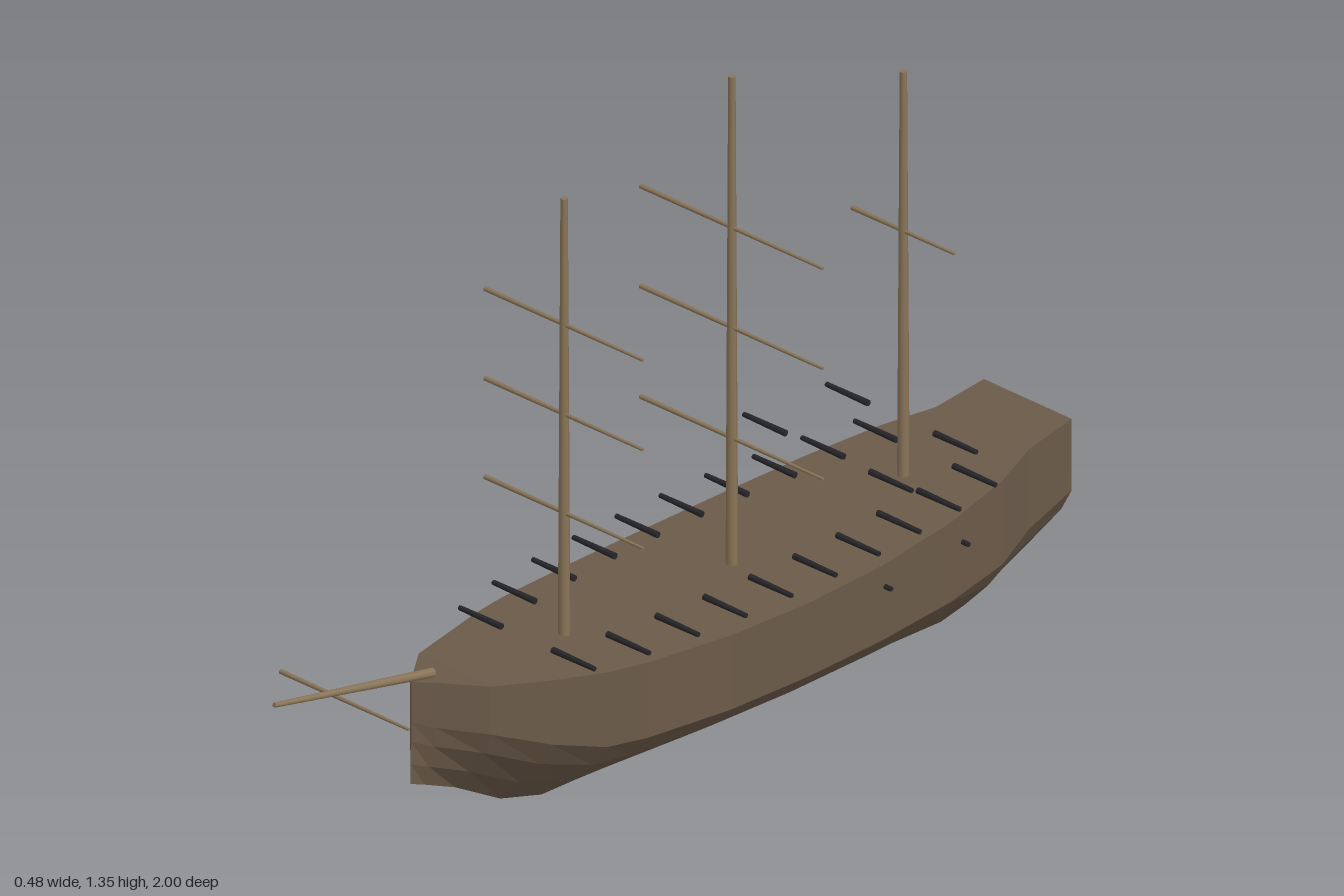
import * as THREE from 'three';

const wood = new THREE.MeshStandardMaterial({ color: 0x6b5a49, flatShading: true });
const spar = new THREE.MeshStandardMaterial({ color: 0x8a7558 });
const iron = new THREE.MeshStandardMaterial({ color: 0x26262a });

// Hull stations from stern to bow: z, half width, deck height, knuckle height, keel height
const stations = [
  [-1, 0.115, 0.39, 0.24, 0.09],
  [-0.88, 0.122, 0.373, 0.205, 0.035],
  [-0.77, 0.16, 0.361, 0.185, 0.007],
  [-0.6, 0.192, 0.347, 0.18, 0.011],
  [-0.4, 0.21, 0.337, 0.18, 0.016],
  [-0.2, 0.215, 0.334, 0.18, 0.021],
  [0, 0.209, 0.338, 0.182, 0.027],
  [0.2, 0.19, 0.348, 0.19, 0.033],
  [0.29, 0.172, 0.354, 0.197, 0.035],
  [0.4, 0.137, 0.365, 0.23, 0.067],
  [0.52, 0.095, 0.381, 0.28, 0.135],
  [0.6, 0.03, 0.395, 0.3, 0.17],
  [0.637, 0.002, 0.4, 0.315, 0.185],
];

// Lower cross-section: fraction of half width, fraction of height from keel to knuckle
const bilge = [[1, 1], [0.77, 0.68], [0.38, 0.32]];

function hullGeometry() {
  const positions = [], index = [];
  const n = bilge.length * 2 + 3;
  for (const [z, w, deck, knuckle, keel] of stations) {
    const half = [[w, deck], ...bilge.map(([u, v]) => [w * u, keel + (knuckle - keel) * v])];
    const ring = [...half, [0, keel], ...half.map(([x, y]) => [-x, y]).reverse()];
    for (const [x, y] of ring) positions.push(x, y, z);
  }
  for (let i = 0; i < stations.length - 1; i++) {
    for (let j = 0; j < n; j++) {
      const k = (j + 1) % n;
      const a = i * n + j, b = i * n + k, c = a + n, d = b + n;
      index.push(a, c, b, b, c, d);
    }
  }
  // Transom and stem caps
  const last = (stations.length - 1) * n;
  for (let j = 1; j < n - 1; j++) {
    index.push(0, j, j + 1);
    index.push(last, last + j + 1, last + j);
  }
  const indexed = new THREE.BufferGeometry();
  indexed.setAttribute('position', new THREE.Float32BufferAttribute(positions, 3));
  indexed.setIndex(index);
  const geometry = indexed.toNonIndexed();
  geometry.computeVertexNormals();
  return geometry;
}

// Half width of the deck at a given z
function deckHalfWidth(z) {
  const i = Math.max(1, stations.findIndex((s) => s[0] >= z));
  const [p, q] = [stations[i - 1], stations[i]];
  return THREE.MathUtils.mapLinear(z, p[0], q[0], p[1], q[1]);
}

// Tapered round pole between two points
function pole(name, from, to, r0, r1, material) {
  const a = new THREE.Vector3(...from), b = new THREE.Vector3(...to);
  const direction = b.clone().sub(a);
  const mesh = new THREE.Mesh(new THREE.CylinderGeometry(r1, r0, direction.length(), 8), material);
  mesh.position.copy(a).add(b).multiplyScalar(0.5);
  mesh.quaternion.setFromUnitVectors(new THREE.Vector3(0, 1, 0), direction.normalize());
  mesh.name = name;
  return mesh;
}

const yard = (half, y, z) => pole('yard', [-half, y, z], [half, y, z], 0.005, 0.003, spar);

export function createModel() {
  const model = new THREE.Group();
  model.name = 'sailingShip';

  const hull = new THREE.Mesh(hullGeometry(), wood);
  hull.name = 'hull';
  model.add(hull);

  // Masts with their yards
  const masts = [
    { name: 'foreMast', z: 0.23, top: 1.265, half: 0.207, yards: [0.605, 0.812, 1.0] },
    { name: 'mainMast', z: -0.215, top: 1.357, half: 0.239, yards: [0.598, 0.83, 1.04] },
    { name: 'mizzenMast', z: -0.67, top: 1.2, half: 0.134, yards: [0.865] },
  ];
  for (const { name, z, top, half, yards } of masts) {
    const group = new THREE.Group();
    group.name = name;
    group.add(pole('mast', [0, 0.3, z], [0, top, z], 0.012, 0.007, spar));
    for (const y of yards) group.add(yard(half, y, z));
    model.add(group);
  }

  // Bowsprit with its crossing yard
  const bowsprit = new THREE.Group();
  bowsprit.name = 'bowsprit';
  bowsprit.add(pole('bowspritPole', [0, 0.398, 0.58], [0, 0.484, 0.999], 0.01, 0.005, spar));
  bowsprit.add(yard(0.168, 0.425, 0.812));
  model.add(bowsprit);

  // Guns in mirrored pairs: main battery, raised stern guns, lower stern guns
  const guns = new THREE.Group();
  guns.name = 'guns';
  const places = [[-0.47, 0.473], [-0.665, 0.473], [-0.41, 0.29], [-0.64, 0.29]];
  for (let i = 0; i < 10; i++) places.push([0.328 - i * 0.1173, 0.377]);
  for (const [z, y] of places) {
    const outer = deckHalfWidth(z) + 0.017;
    for (const side of [1, -1]) {
      guns.add(pole('gun', [side * (outer - 0.11), y, z], [side * outer, y, z], 0.0065, 0.005, iron));
    }
  }
  model.add(guns);

  return model;
}
